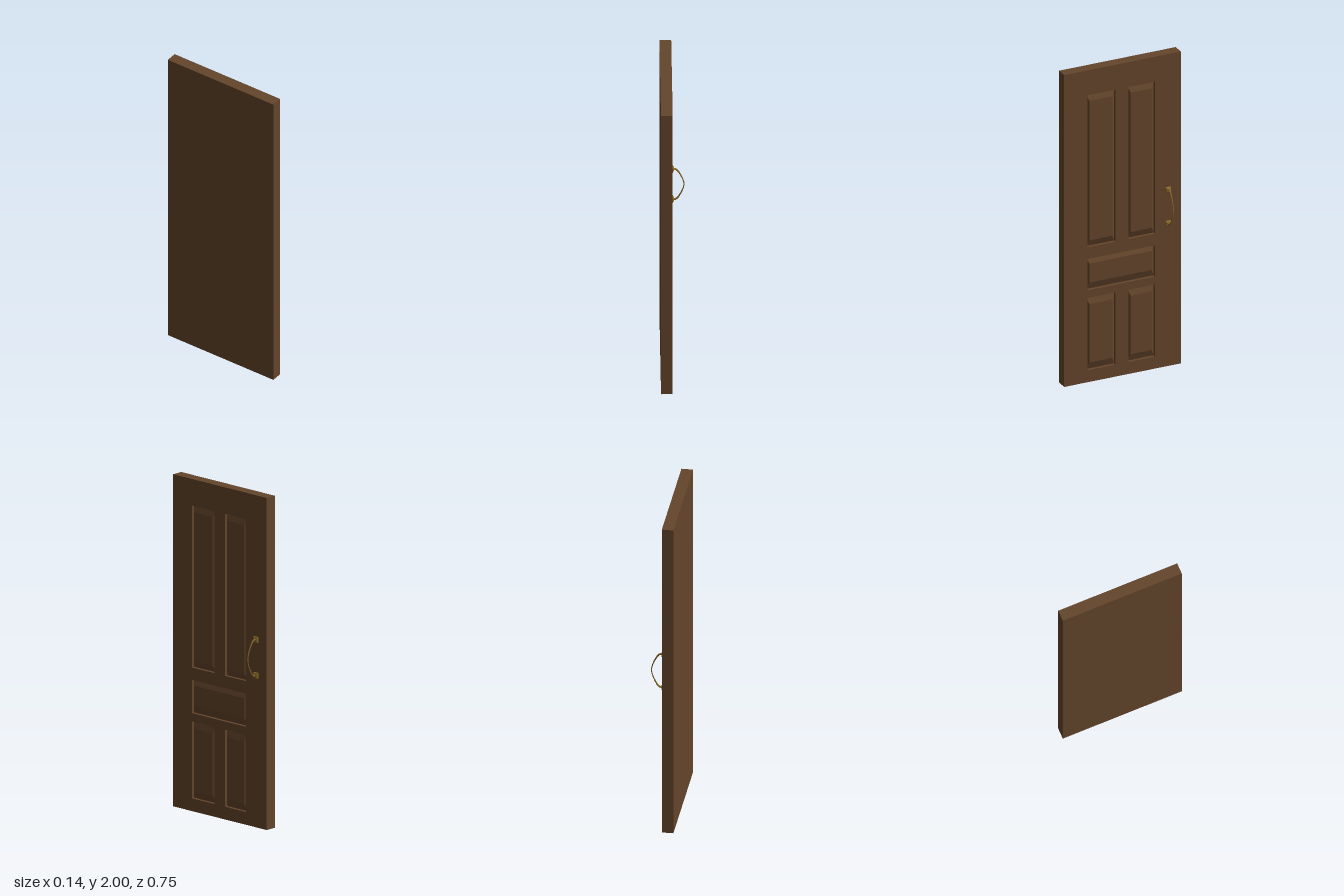
import * as THREE from 'three';

const WIDTH = 0.75, HEIGHT = 2, FACE = -0.005, BACK = -0.073;
const GROOVE = FACE - 0.02, FIELD = FACE - 0.004;

const wood = new THREE.MeshStandardMaterial({ color: 0x64452b, flatShading: true });
const brass = new THREE.MeshStandardMaterial({ color: 0x8a6a2a });
const brassFlat = new THREE.MeshStandardMaterial({ color: 0x8a6a2a, flatShading: true });

// Panels as [left, right, bottom, top] of the opening and of the raised field
const COLUMNS = [[-0.225, -0.045, -0.212, -0.063], [0.04, 0.209, 0.053, 0.19]];
const PANELS = [{ name: 'middlePanel', outer: [-0.225, 0.209, 0.59, 0.79], inner: [-0.212, 0.19, 0.635, 0.757] }];
COLUMNS.forEach(([l, r, il, ir], i) => {
  const side = i ? 'Right' : 'Left';
  PANELS.push({ name: 'upperPanel' + side, outer: [l, r, 0.865, 1.84], inner: [il, ir, 0.905, 1.8] });
  PANELS.push({ name: 'lowerPanel' + side, outer: [l, r, 0.077, 0.54], inner: [il, ir, 0.122, 0.497] });
});

function mesh(name, geometry, material) {
  const m = new THREE.Mesh(geometry, material);
  m.name = name;
  return m;
}

const corners = ([l, r, b, t]) => [[l, b], [r, b], [r, t], [l, t]];

// Straight wall down into the groove, bevel up to the field, then the flat field
function panelGeometry(outer, inner) {
  const rings = [[outer, FACE], [outer, GROOVE], [inner, FIELD]];
  const positions = rings.flatMap(([rect, z]) => corners(rect).flatMap(([x, y]) => [x, y, z]));
  const index = [];
  for (let k = 0; k < 2; k++) {
    for (let i = 0; i < 4; i++) {
      const a = k * 4 + i, b = k * 4 + (i + 1) % 4;
      index.push(a, b, b + 4, a, b + 4, a + 4);
    }
  }
  index.push(8, 9, 10, 8, 10, 11);
  const indexed = new THREE.BufferGeometry();
  indexed.setAttribute('position', new THREE.Float32BufferAttribute(positions, 3));
  indexed.setIndex(index);
  const geometry = indexed.toNonIndexed();
  geometry.computeVertexNormals();
  return geometry;
}

function buildSlab() {
  const slab = new THREE.Group();
  slab.name = 'doorSlab';

  // Back and edges: a box without its front side
  const box = new THREE.BoxGeometry(WIDTH, HEIGHT, FACE - BACK);
  const sides = Array.from(box.index.array);
  sides.splice(24, 6);
  box.setIndex(sides);
  box.clearGroups();
  box.translate(0, HEIGHT / 2, (FACE + BACK) / 2);
  slab.add(mesh('backAndEdges', box, wood));

  // Front face with the panel openings cut out
  const toPoints = rect => corners(rect).map(([x, y]) => new THREE.Vector2(x, y));
  const shape = new THREE.Shape(toPoints([-WIDTH / 2, WIDTH / 2, 0, HEIGHT]));
  for (const { outer } of PANELS) shape.holes.push(new THREE.Path(toPoints(outer).reverse()));
  const face = new THREE.ShapeGeometry(shape);
  face.translate(0, 0, FACE);
  slab.add(mesh('frameFace', face, wood));

  for (const { name, outer, inner } of PANELS) slab.add(mesh(name, panelGeometry(outer, inner), wood));
  return slab;
}

// Bar that narrows from its feet towards the middle of the bow
function gripGeometry(midY) {
  const half = [[-0.002, 0.109], [0.02, 0.107], [0.045, 0.073], [0.068, 0]];
  const path = [...half, ...half.slice(0, -1).reverse().map(([z, y]) => [z, -y])];
  const curve = new THREE.CatmullRomCurve3(path.map(([z, y]) => new THREE.Vector3(0, midY + y, z)));
  const segments = 40, sides = 10;
  const tube = new THREE.TubeGeometry(curve, segments, 1, sides);
  const pos = tube.attributes.position, v = new THREE.Vector3();
  for (let i = 0; i <= segments; i++) {
    const centre = curve.getPointAt(i / segments);
    const end = Math.abs(2 * i / segments - 1);
    const radius = 0.0032 + 0.0034 * end * end;
    for (let j = 0; j <= sides; j++) {
      const n = i * (sides + 1) + j;
      v.fromBufferAttribute(pos, n).sub(centre).multiplyScalar(radius).add(centre);
      pos.setXYZ(n, v.x, v.y, v.z);
    }
  }
  tube.computeVertexNormals();
  return tube;
}

function buildHandle() {
  const handle = new THREE.Group();
  handle.name = 'handle';
  const midY = 1.024;
  for (const s of [-1, 1]) {
    const mount = new THREE.Group();
    mount.name = s > 0 ? 'upperMount' : 'lowerMount';
    // Square plate with a chamfered cap
    const plate = mesh('plate', new THREE.BoxGeometry(0.034, 0.034, 0.008), brassFlat);
    plate.position.z = 0.004;
    const cap = new THREE.CylinderGeometry(0.009 * Math.SQRT2, 0.017 * Math.SQRT2, 0.006, 4, 1, true);
    cap.rotateY(Math.PI / 4).rotateX(Math.PI / 2).translate(0, 0, 0.011);
    const top = new THREE.PlaneGeometry(0.018, 0.018).translate(0, 0, 0.014);
    mount.add(plate, mesh('chamfer', cap, brassFlat), mesh('capTop', top, brassFlat));
    mount.position.set(0, midY + s * 0.108, FACE);
    handle.add(mount);
  }
  handle.add(mesh('grip', gripGeometry(midY), brass));
  handle.position.x = 0.292;
  return handle;
}

export function createModel() {
  const model = new THREE.Group();
  model.name = 'panelDoor';
  // The panelled face is built facing +z, then turned to face +x
  const door = new THREE.Group();
  door.name = 'door';
  door.add(buildSlab(), buildHandle());
  door.rotation.y = Math.PI / 2;
  model.add(door);
  return model;
}
